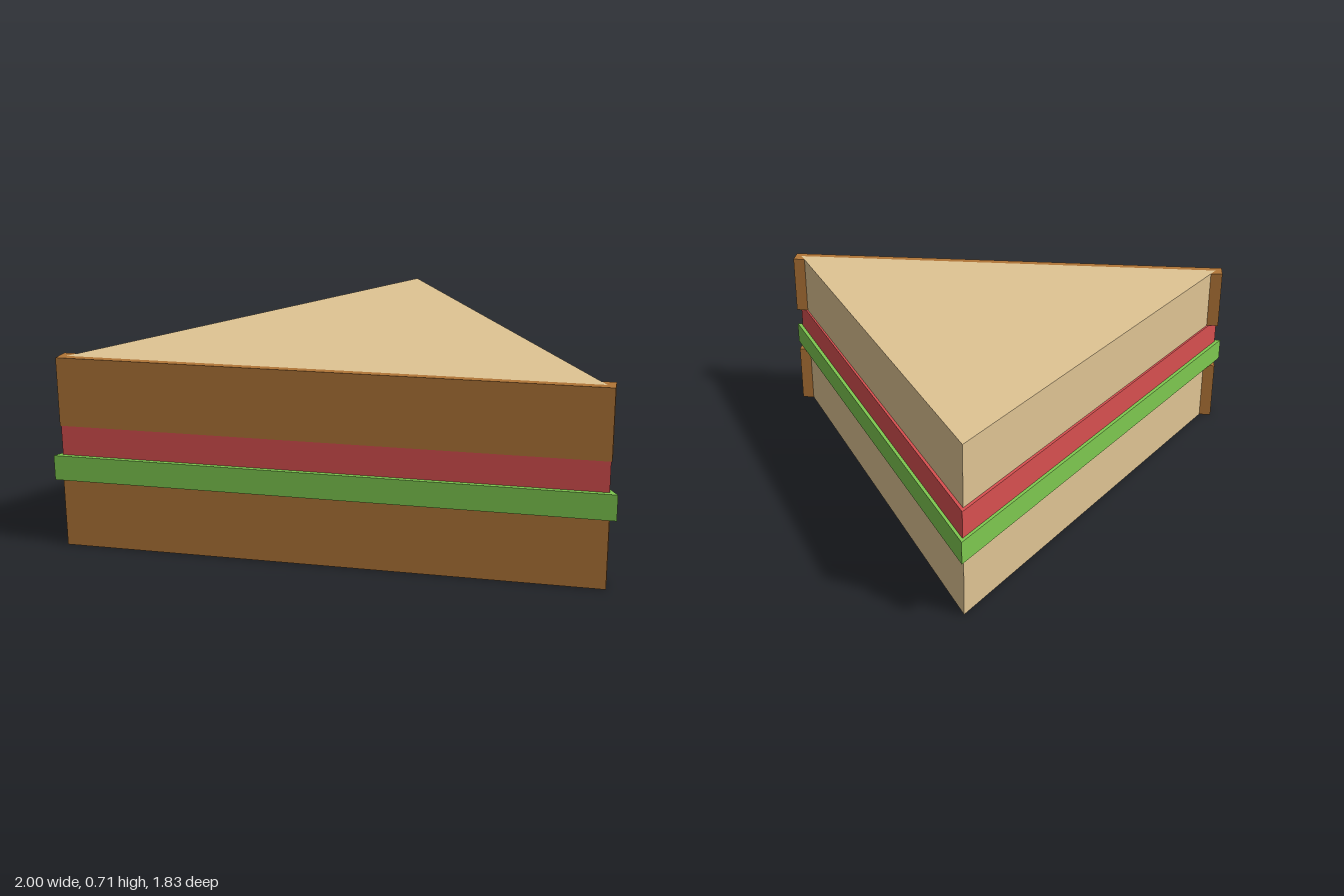
import * as THREE from 'three';

const paint = (name, color) => {
  const m = new THREE.MeshStandardMaterial({ color });
  m.name = name;
  return m;
};

// Upright slab whose plan is a list of [x, z] points
function slab(name, plan, bottom, top, material) {
  const shape = new THREE.Shape(plan.map(([x, z]) => new THREE.Vector2(x, z)));
  const geometry = new THREE.ExtrudeGeometry(shape, { depth: top - bottom, bevelEnabled: false });
  geometry.rotateX(Math.PI / 2).translate(0, top, 0);
  const mesh = new THREE.Mesh(geometry, material);
  mesh.name = name;
  return mesh;
}

// Triangle with its point at the back
const triangle = (halfWidth, front, back) => [[-halfWidth, front], [halfWidth, front], [0, back]];

export function createModel() {
  const bread = paint('bread', 0xdfc493);
  const crust = paint('crust', 0xb17537);
  const lettuce = paint('lettuce green', 0x7ec850);
  const tomato = paint('tomato red', 0xd85050);

  const group = new THREE.Group();
  group.name = 'sandwich';

  // Crust wraps the wide edge and both corners of the bread
  const crustPlan = [
    [-0.975, 0.9], [-0.975, 0.825], [-0.924, 0.825], [-0.947, 0.867],
    [0.947, 0.867], [0.924, 0.825], [0.975, 0.825], [0.975, 0.9],
  ];

  // Two bread slices
  for (const [name, bottom, top] of [['lower', 0, 0.254], ['upper', 0.455, 0.706]]) {
    group.add(slab(name + 'Bread', triangle(0.947, 0.867, -0.862), bottom, top, bread));
    group.add(slab(name + 'Crust', crustPlan, bottom, top, crust));
  }

  // Fillings
  group.add(slab('lettuce', triangle(1, 0.915, -0.915), 0.254, 0.346, lettuce));
  group.add(slab('tomato', triangle(0.972, 0.897, -0.889), 0.346, 0.455, tomato));

  return group;
}
